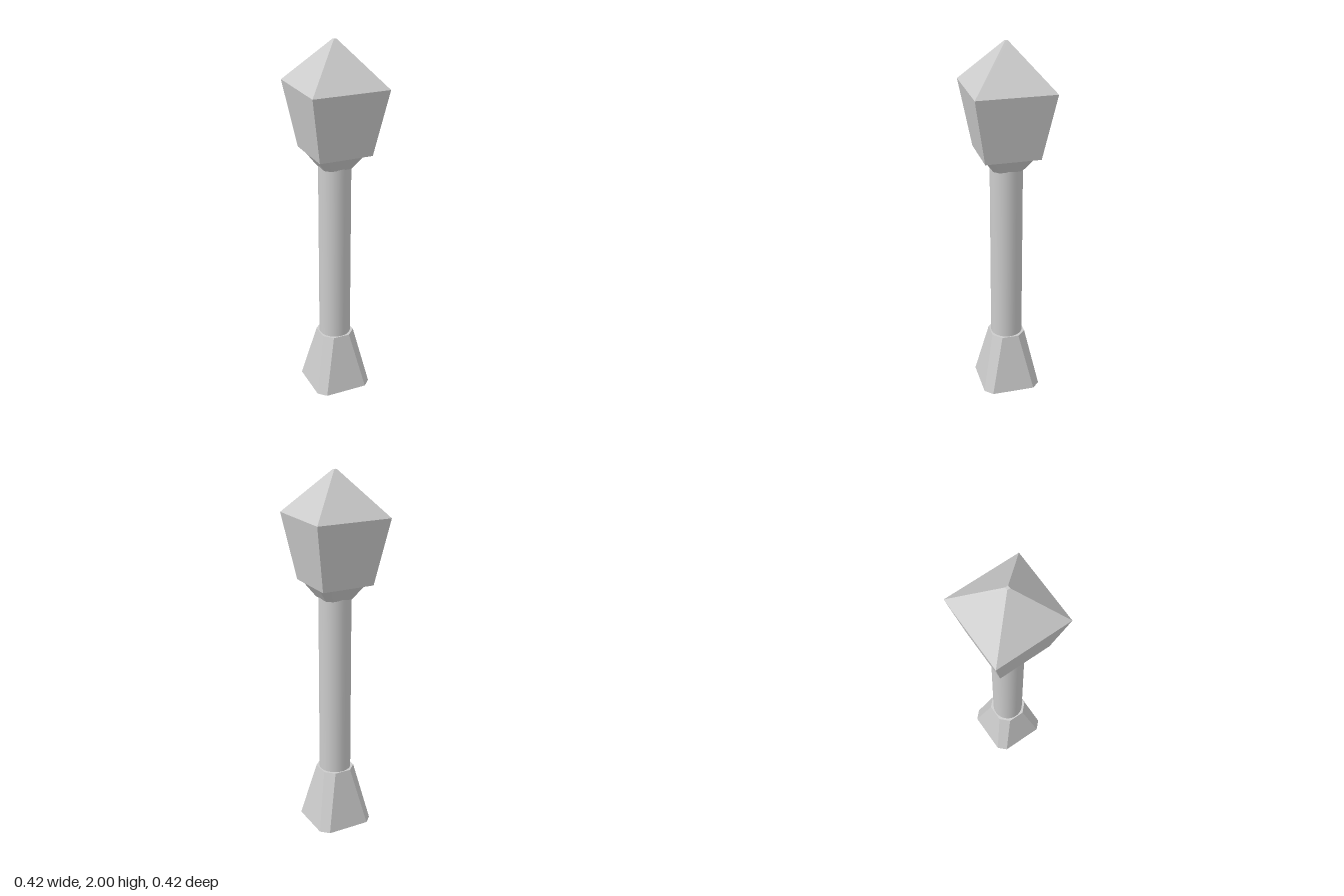
import * as THREE from 'three';

const grey = new THREE.MeshStandardMaterial({ color: 0xcccccc });
const faceted = new THREE.MeshStandardMaterial({ color: 0xcccccc, flatShading: true });

// Square ring of half-width h; corners are cut back so each side is 2 * flat long
function ring(h, flat, y) {
  const pts = [];
  for (let i = 0; i < 4; i++) {
    const a = (i * Math.PI) / 2, c = Math.cos(a), s = Math.sin(a);
    for (const t of flat < h ? [-flat, flat] : [flat]) {
      pts.push([c * h - s * t, y, -(s * h + c * t)]);
    }
  }
  return pts;
}

// Closed solid joining rings given as [halfWidth, halfFlat, y], bottom to top
function loft(name, sections) {
  const rings = sections.map((s) => ring(...s));
  const n = rings[0].length;
  const pos = [];
  const tri = (a, b, c) => pos.push(...a, ...b, ...c);
  for (let r = 0; r < rings.length - 1; r++) {
    for (let i = 0; i < n; i++) {
      const j = (i + 1) % n, lo = rings[r], hi = rings[r + 1];
      tri(lo[i], lo[j], hi[j]);
      tri(lo[i], hi[j], hi[i]);
    }
  }
  const bottom = rings[0], top = rings[rings.length - 1];
  for (let i = 1; i < n - 1; i++) {
    tri(bottom[0], bottom[i + 1], bottom[i]);
    tri(top[0], top[i], top[i + 1]);
  }
  const geo = new THREE.BufferGeometry();
  geo.setAttribute('position', new THREE.Float32BufferAttribute(pos, 3));
  geo.computeVertexNormals();
  const mesh = new THREE.Mesh(geo, faceted);
  mesh.name = name;
  return mesh;
}

export function createModel() {
  const group = new THREE.Group();
  group.name = 'lampPost';

  // Tapered foot with chamfered corners
  group.add(loft('base', [[0.162, 0.12, 0], [0.094, 0.047, 0.33]]));

  // Round pole, its ends sunk into the base and collar
  const pole = new THREE.Mesh(new THREE.CylinderGeometry(0.088, 0.088, 1.06, 32), grey);
  pole.name = 'pole';
  pole.position.y = 0.83;
  group.add(pole);

  // Flared collar under the lantern
  group.add(loft('collar', [[0.084, 0.056, 1.336], [0.141, 0.095, 1.415]]));

  // Lantern body widening upwards, and its pyramid roof with a tiny flat tip
  group.add(loft('lantern', [[0.148, 0.148, 1.415], [0.21, 0.21, 1.77]]));
  group.add(loft('roof', [[0.21, 0.21, 1.77], [0.008, 0.008, 2]]));

  return group;
}
